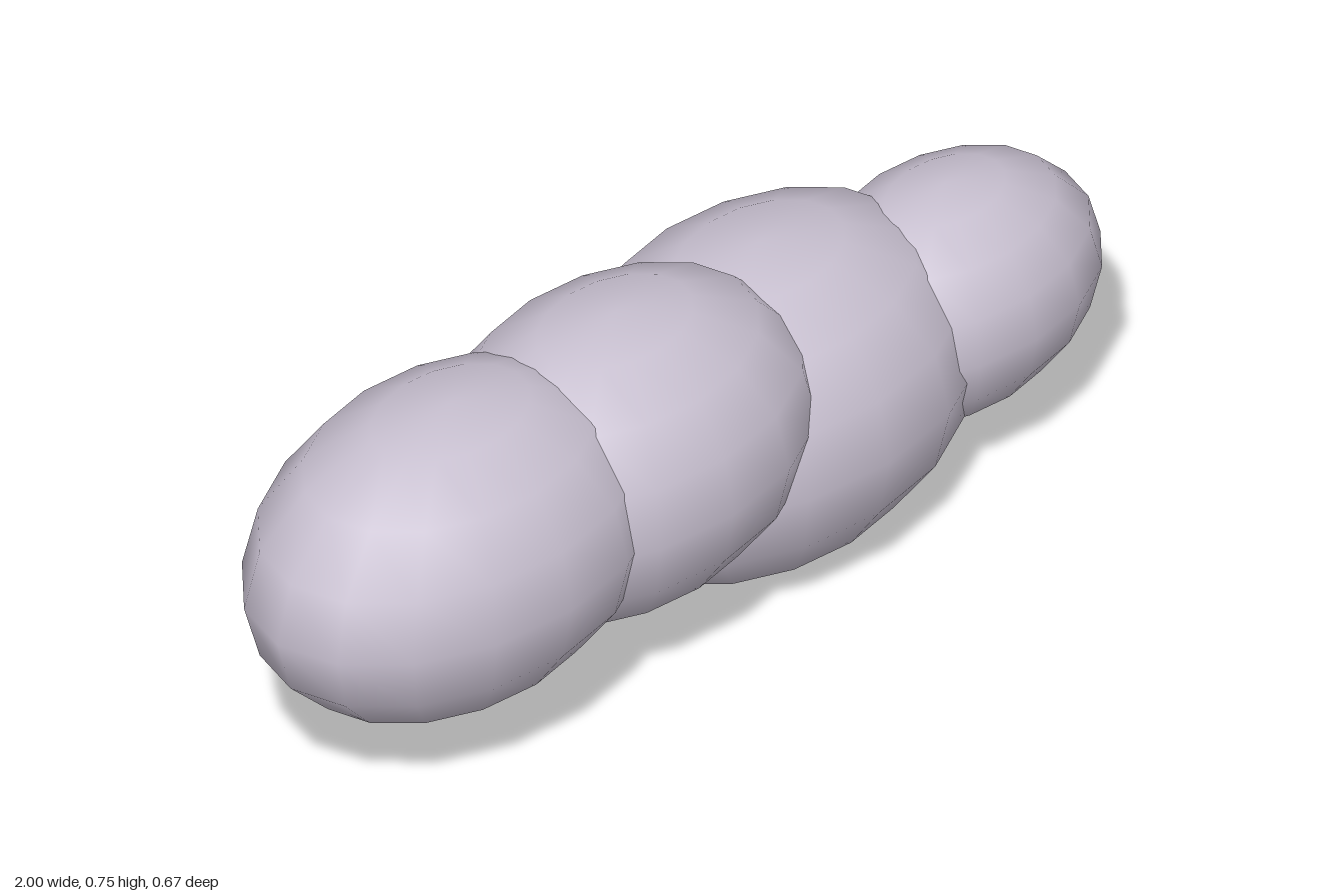
import * as THREE from 'three';

export function createModel() {
  const model = new THREE.Group();
  model.name = 'segmentedBody';
  const paleLilac = new THREE.MeshStandardMaterial({ color: 0xc8c0d0 });
  paleLilac.name = 'paleLilac';

  // Overlapping egg-shaped lobes, all stretched along x by the same ratio
  const stretch = 1.447;
  const lobe = (name, radius, x, y, z) => {
    const geometry = new THREE.SphereGeometry(radius, 16, 8);
    geometry.scale(stretch, 1, 1);
    const mesh = new THREE.Mesh(geometry, paleLilac);
    mesh.name = name;
    mesh.position.set(x, y, z);
    model.add(mesh);
  };

  lobe('endLobe', 0.304, -0.56, 0.452, 0.02);
  lobe('middleLobe', 0.298, -0.155, 0.447, 0.034);
  lobe('largeLobe', 0.325, 0.26, 0.326, -0.012);
  lobe('smallLobe', 0.23, 0.667, 0.363, 0.053);

  return model;
}
